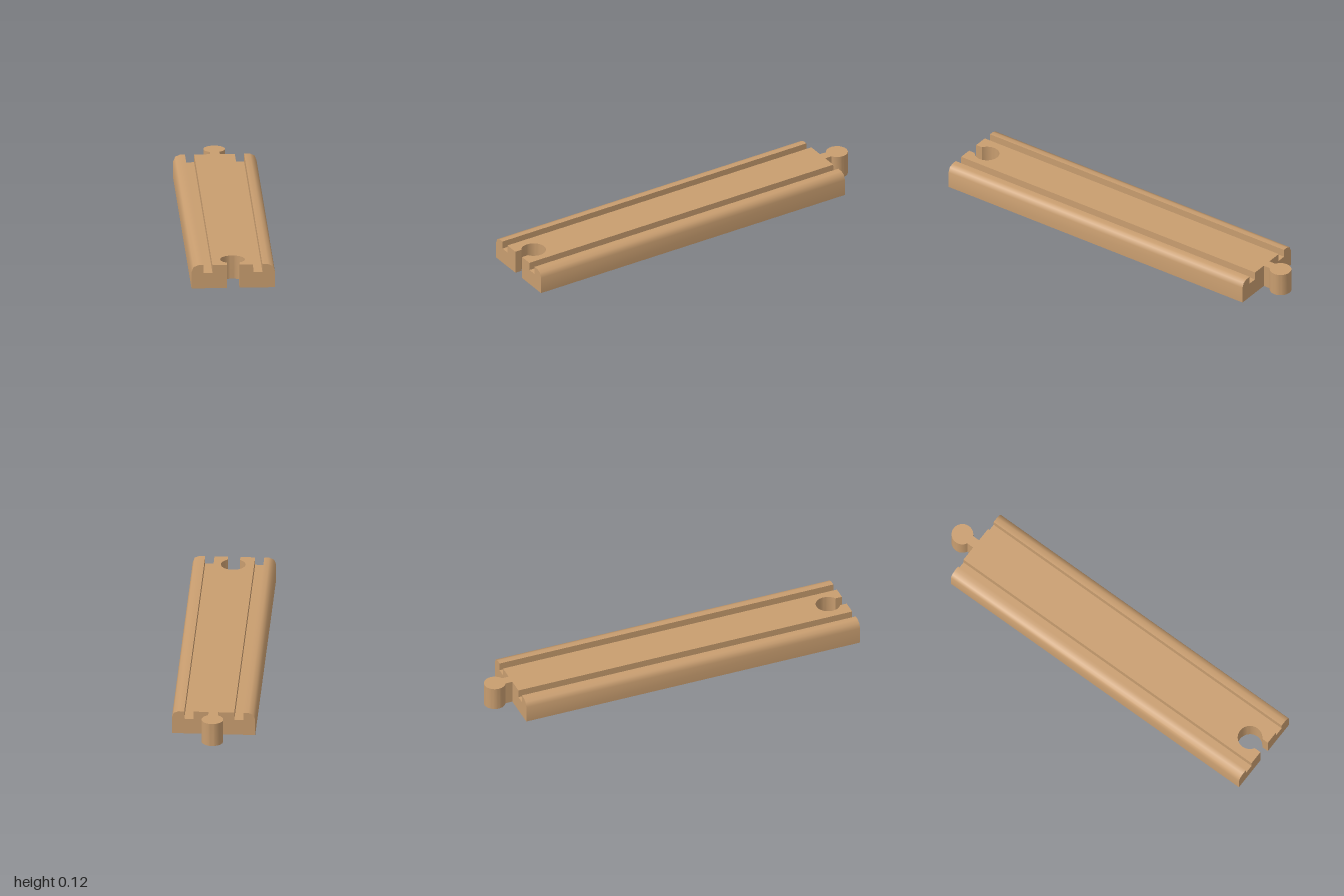
import * as THREE from 'three';
import { toCreasedNormals } from 'three/addons/utils/BufferGeometryUtils.js';

const TOP = 0.125, GROOVE = 0.083, BACK = -0.856, FRONT = 1;

// Cross-sections (x, y) of the two rails, each running left to right
const railA = [[-0.216, 0], [-0.216, 0.089], [-0.205, 0.115], [-0.181, TOP], [-0.155, TOP],
  [-0.155, GROOVE], [-0.108, GROOVE], [-0.108, TOP]];
const railB = [[0.102, TOP], [0.103, GROOVE], [0.15, GROOVE], [0.15, TOP],
  [0.18, TOP], [0.204, 0.115], [0.214, 0.089], [0.214, 0]];

// Sheet between two matching rows of 3D points
function sheet(rowA, rowB) {
  const index = [], n = rowA.length;
  for (let i = 0; i < n - 1; i++) index.push(i, n + i, n + i + 1, i, n + i + 1, i + 1);
  const g = new THREE.BufferGeometry();
  g.setAttribute('position', new THREE.Float32BufferAttribute([...rowA, ...rowB].flat(), 3));
  g.setIndex(index);
  return toCreasedNormals(g, 0.85);
}

// Keyhole outline (x, z): straight neck, then a round head; side sets the starting x side
function keyhole(zNeck, zHead, radius, halfNeck, side) {
  const gap = Math.asin(halfNeck / radius), steps = 36;
  const pts = [[side * halfNeck, zNeck]];
  for (let i = 0; i <= steps; i++) {
    const t = gap + (2 * Math.PI - 2 * gap) * i / steps;
    pts.push([side * radius * Math.sin(t), zHead + radius * Math.cos(t)]);
  }
  pts.push([-side * halfNeck, zNeck]);
  return pts;
}

const flat = pts => new THREE.ShapeGeometry(new THREE.Shape(pts.map(p => new THREE.Vector2(p[0], p[1]))));

export function createModel() {
  const group = new THREE.Group();
  const wood = new THREE.MeshStandardMaterial({ color: 0xc89d6f, side: THREE.DoubleSide });
  wood.name = 'wood';
  const add = (name, geometry) => {
    const mesh = new THREE.Mesh(geometry, wood);
    mesh.name = name;
    group.add(mesh);
    return mesh;
  };

  const peg = keyhole(BACK, -0.944, 0.056, 0.025, -1);
  const socket = keyhole(FRONT, 0.909, 0.0635, 0.032, 1);

  // Grooved rails with rounded outer edges; the underside is hollow
  for (const [name, rail] of [['rightRail', railA], ['leftRail', railB]]) {
    add(name, sheet(rail.map(([x, y]) => [x, y, BACK]), rail.map(([x, y]) => [x, y, FRONT])));
  }

  // Centre deck, including the peg top and the socket cut-out
  const outline = [[-0.108, BACK], ...peg, [0.102, BACK], [0.102, FRONT], ...socket, [-0.108, FRONT]];
  add('deck', flat(outline.map(([x, z]) => [x, -z])).rotateX(-Math.PI / 2).translate(0, TOP, 0));

  // Upright walls of the peg and the socket
  for (const [name, path] of [['pegWall', peg], ['socketWall', socket]]) {
    add(name, sheet(path.map(([x, z]) => [x, 0, z]), path.map(([x, z]) => [x, TOP, z])));
  }

  // End walls, split by the neck
  for (const [name, z, half] of [['frontEnd', FRONT, 0.032], ['backEnd', BACK, 0.025]]) {
    add(name + 'Right', flat([...railA, [-half, TOP], [-half, 0]])).position.z = z;
    add(name + 'Left', flat([[half, 0], [half, TOP], ...railB])).position.z = z;
  }
  return group;
}
